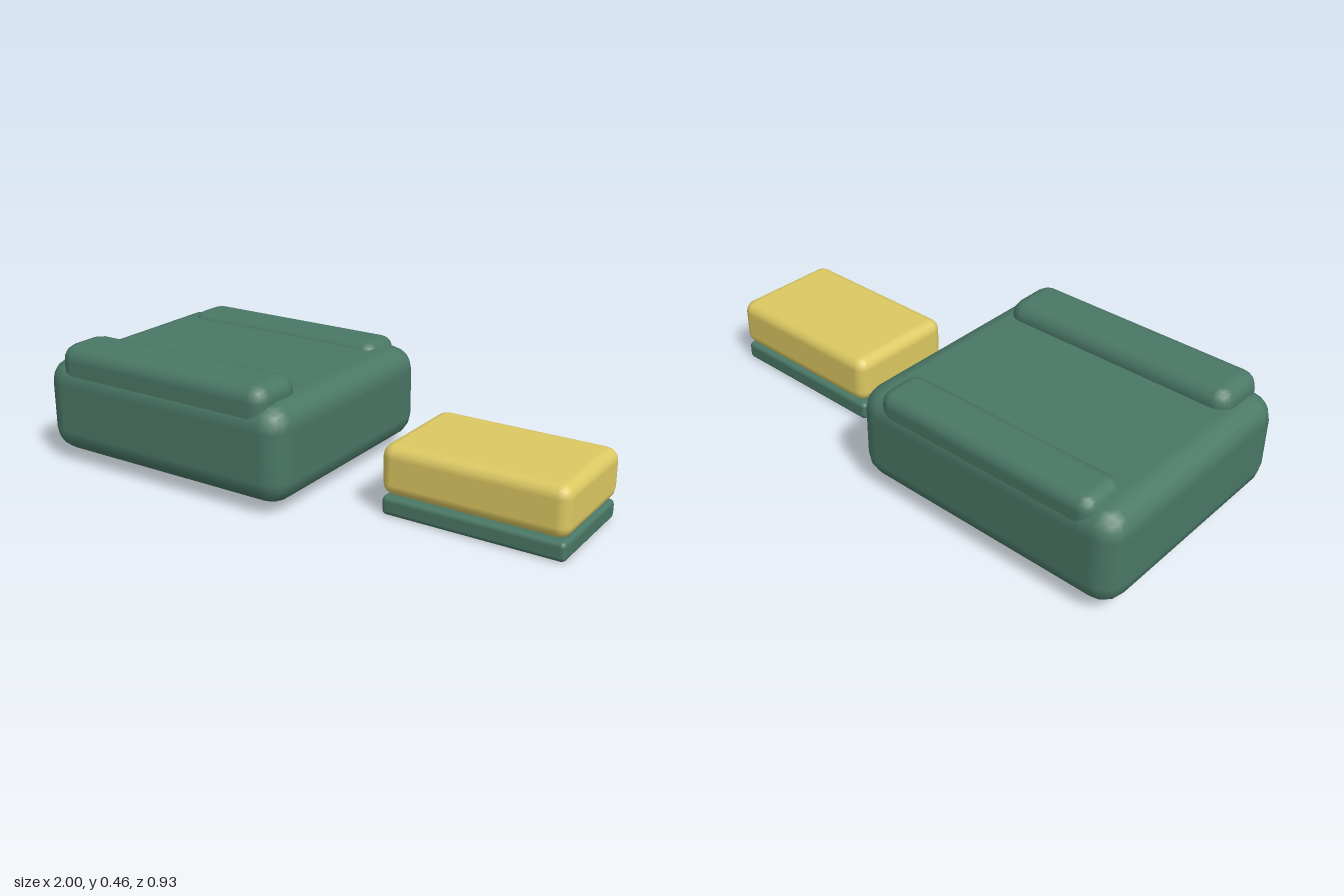
import * as THREE from 'three';
import { RoundedBoxGeometry } from 'three/addons/geometries/RoundedBoxGeometry.js';

const green = new THREE.MeshStandardMaterial({ color: 0x4a7766 });
const yellow = new THREE.MeshStandardMaterial({ color: 0xdcc862 });

// Softly rounded block given by its extents [min, max] along each axis
function cushion(name, x, y, z, radius, material) {
  const size = [x, y, z].map(([a, b]) => b - a);
  const mesh = new THREE.Mesh(new RoundedBoxGeometry(...size, 2, radius), material);
  mesh.position.set(...[x, y, z].map(([a, b]) => (a + b) / 2));
  mesh.name = name;
  return mesh;
}

export function createModel() {
  const model = new THREE.Group();
  model.name = 'loungeSet';

  // Large seat block with a bolster along its front and back edges
  const lounge = new THREE.Group();
  lounge.name = 'lounge';
  lounge.add(
    cushion('seatBlock', [-1, 0.08], [0.035, 0.395], [-0.465, 0.465], 0.09, green),
    cushion('frontBolster', [-0.925, 0.005], [0.28, 0.458], [0.23, 0.455], 0.06, green),
    cushion('backBolster', [-0.9, -0.02], [0.26, 0.42], [-0.458, -0.27], 0.05, green)
  );

  // Separate footstool: thin base under a thick cushion
  const footstool = new THREE.Group();
  footstool.name = 'footstool';
  footstool.add(
    cushion('stoolBase', [0.32, 0.993], [0, 0.07], [-0.21, 0.21], 0.018, green),
    cushion('stoolCushion', [0.315, 1], [0.075, 0.26], [-0.218, 0.218], 0.045, yellow)
  );

  model.add(lounge, footstool);
  return model;
}
